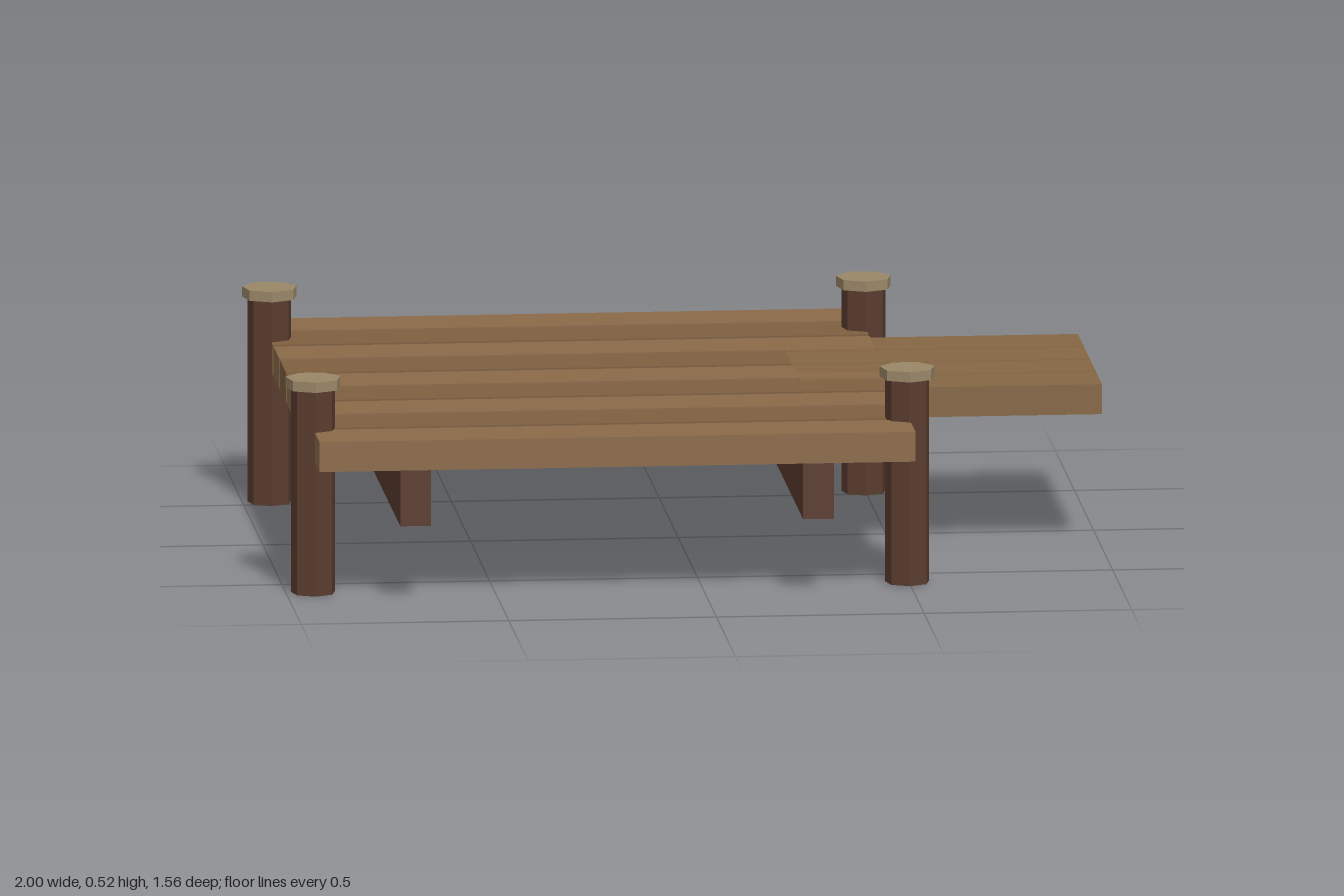
import * as THREE from 'three';

export function createModel() {
  const group = new THREE.Group();
  group.name = 'woodenDock';

  const mat = (color) => new THREE.MeshStandardMaterial({ color, flatShading: true });
  const lightWood = mat(0x8b6b4a);
  const midWood = mat(0x7f5f40);
  const sideWood = mat(0x856644);
  const darkWood = mat(0x5a3c2e);
  const capWood = mat(0x9a8768);

  const add = (name, geometry, material, x, y, z) => {
    const mesh = new THREE.Mesh(geometry, material);
    mesh.name = name;
    mesh.position.set(x, y, z);
    group.add(mesh);
  };

  // Main deck: nine planks in alternating tones
  const deckPlank = new THREE.BoxGeometry(1.435, 0.073, 0.155);
  for (let i = 0; i < 9; i++) {
    add('deckPlank' + (i + 1), deckPlank, i % 2 ? midWood : lightWood, -0.2175, 0.3635, -0.702 + i * 0.175);
  }

  // Side landing: four planks reaching out to the left, lapped into the deck
  const landingPlank = new THREE.BoxGeometry(0.718, 0.073, 0.153);
  for (let i = 0; i < 4; i++) {
    add('landingPlank' + (i + 1), landingPlank, sideWood, 0.641, 0.3635, -0.333 + i * 0.16);
  }

  // Two support beams under the deck
  const beam = new THREE.BoxGeometry(0.074, 0.137, 1.465);
  for (const x of [-0.703, 0.267]) add('supportBeam', beam, darkWood, x, 0.2585, 0.0375);

  // Four seven-sided posts with wider caps
  const post = new THREE.CylinderGeometry(0.054, 0.054, 0.5, 7);
  const cap = new THREE.CylinderGeometry(0.0675, 0.0675, 0.025, 7);
  for (const x of [-0.934, 0.4965]) {
    for (const z of [-0.536, 0.604]) {
      add('post', post, darkWood, x, 0.25, z);
      add('postCap', cap, capWood, x, 0.5125, z);
    }
  }

  return group;
}
